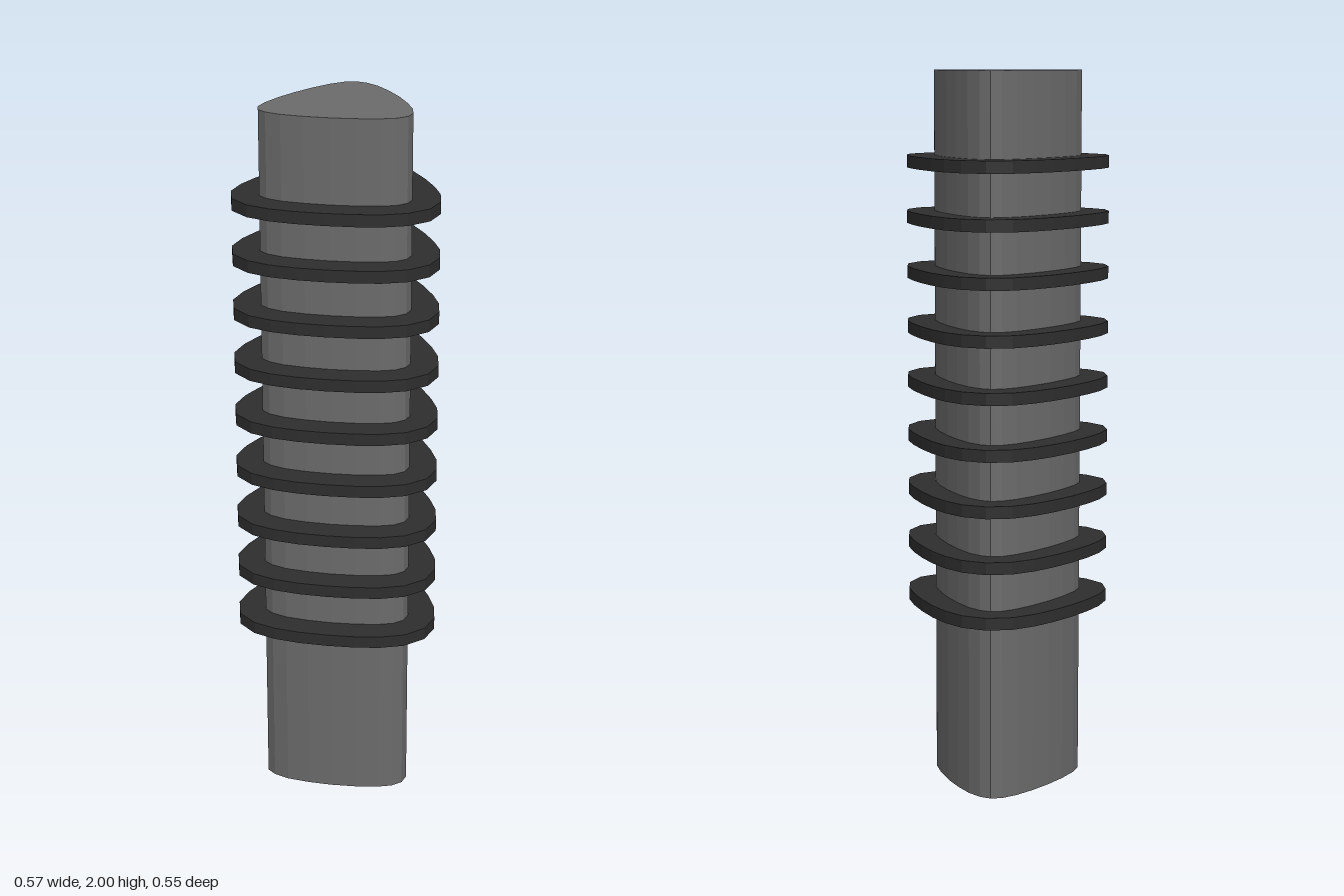
import * as THREE from 'three';

// Half outlines (x, z) of the rounded triangles, from back centre to front tip
const CORE = [[0, -0.199], [0.069, -0.196], [0.132, -0.187], [0.176, -0.172], [0.2, -0.15], [0.207, -0.118],
  [0.2, -0.072], [0.176, -0.012], [0.145, 0.048], [0.106, 0.108], [0.067, 0.157], [0.033, 0.186], [0, 0.196]];
const RIM = [[0, -0.277], [0.08, -0.273], [0.15, -0.262], [0.216, -0.238], [0.267, -0.188], [0.284, -0.118],
  [0.273, -0.05], [0.247, 0.018], [0.21, 0.088], [0.167, 0.155], [0.123, 0.21], [0.069, 0.254], [0, 0.273]];

// Mirror a half outline into a closed loop of points
function outline(half) {
  const mirrored = half.slice(1, -1).reverse().map(([x, z]) => [-x, z]);
  return [...half, ...mirrored].map(([x, z]) => new THREE.Vector2(x, -z));
}

// Extrude a shape upwards from y = 0
function slab(shape, height) {
  const g = new THREE.ExtrudeGeometry(shape, { depth: height, bevelEnabled: false });
  return g.rotateX(-Math.PI / 2);
}

export function createModel() {
  const model = new THREE.Group();
  const coreMaterial = new THREE.MeshStandardMaterial({ color: 0x6b6b6b, flatShading: true });
  const ringMaterial = new THREE.MeshStandardMaterial({ color: 0x2e2e2e, flatShading: true });

  // Long triangular core
  const core = new THREE.Mesh(slab(new THREE.Shape(outline(CORE)), 2), coreMaterial);
  core.name = 'core';
  model.add(core);

  // Evenly spaced flat rings around the core
  const ringShape = new THREE.Shape(outline(RIM));
  ringShape.holes.push(new THREE.Path(outline(CORE)));
  const thickness = 0.034;
  const ringGeometry = slab(ringShape, thickness);
  const rings = new THREE.Group();
  rings.name = 'rings';
  for (let i = 0; i < 9; i++) {
    const ring = new THREE.Mesh(ringGeometry, ringMaterial);
    ring.name = `ring${i + 1}`;
    ring.position.y = 0.517 + i * 0.154 - thickness / 2;
    rings.add(ring);
  }
  model.add(rings);
  return model;
}
